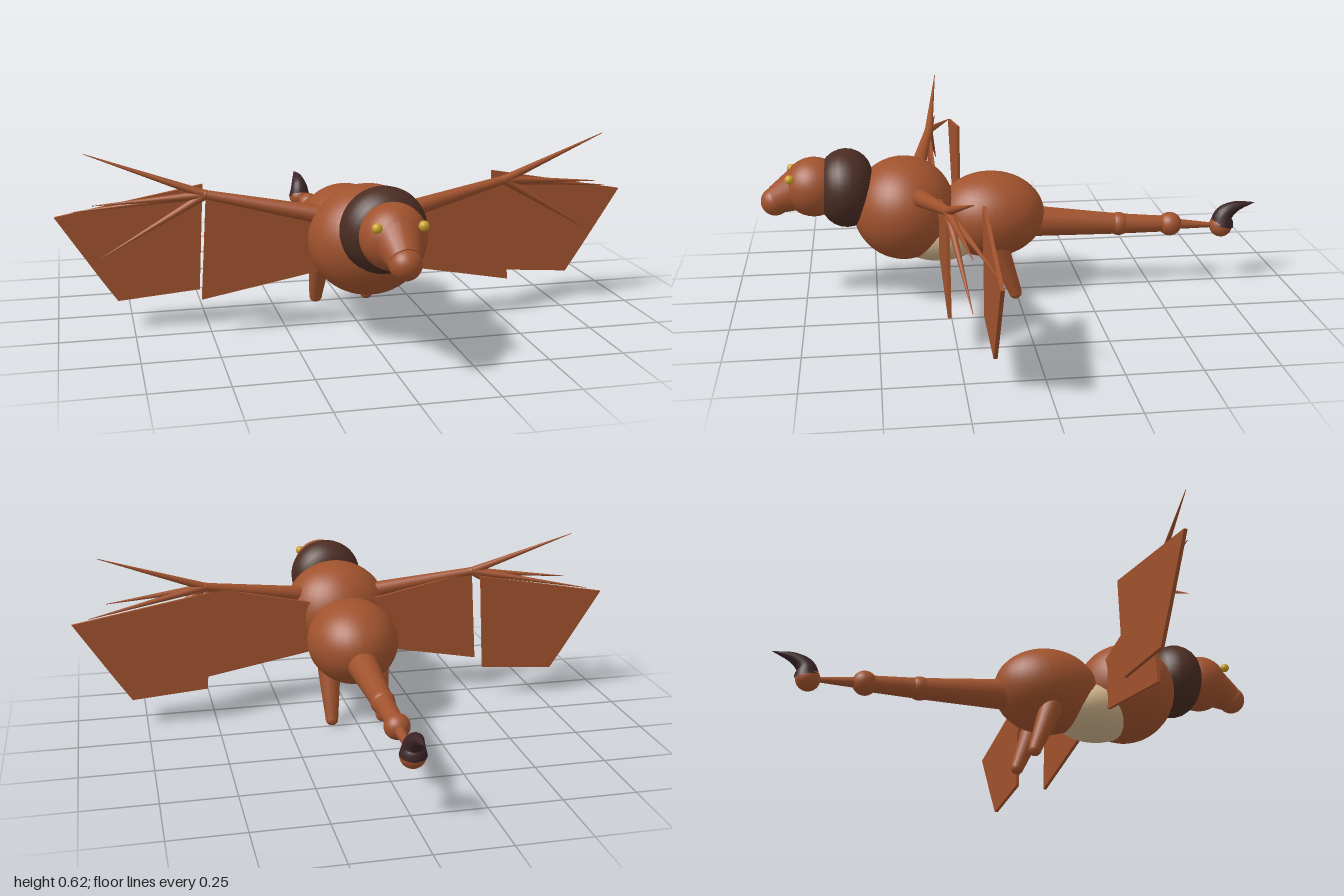
import * as THREE from 'three';

export function createModel() {
  const model = new THREE.Group();
  const mat = (name, color) => {
    const m = new THREE.MeshStandardMaterial({ color });
    m.name = name;
    return m;
  };
  const hide = mat('russet hide', 0xa0522d);
  const fur = mat('dark fur', 0x4a2c22);
  const horn = mat('dark horn', 0x3a2326);
  const cream = mat('cream belly', 0xd2b48c);
  const gold = mat('gold eye', 0xc9a227);
  const V = (x, y, z) => new THREE.Vector3(x, y, z);

  const add = (name, geometry, material) => {
    const mesh = new THREE.Mesh(geometry, material);
    mesh.name = name;
    model.add(mesh);
    return mesh;
  };
  const ball = (name, center, radii, material = hide) => {
    const mesh = add(name, new THREE.SphereGeometry(1, 32, 24), material);
    mesh.position.copy(center);
    mesh.scale.set(...radii);
    return mesh;
  };
  // Tapered round limb running from a to b
  const limb = (name, a, b, ra, rb, material = hide) => {
    const dir = b.clone().sub(a);
    const mesh = add(name, new THREE.CylinderGeometry(rb, ra, dir.length(), 20), material);
    mesh.position.copy(a).addScaledVector(dir, 0.5);
    mesh.quaternion.setFromUnitVectors(V(0, 1, 0), dir.normalize());
    return mesh;
  };
  // Flat panel facing the front, centred on depth z
  const panel = (name, points, side, z) => {
    const shape = new THREE.Shape(points.map(([x, y]) => new THREE.Vector2(x * side, y)));
    const geometry = new THREE.ExtrudeGeometry(shape, { depth: 0.012, bevelEnabled: false });
    geometry.translate(0, 0, z - 0.006);
    add(name, geometry, hide);
  };

  // Body
  ball('chest', V(0, 0.33, 0.395), [0.195, 0.182, 0.18]);
  ball('hindquarters', V(0, 0.293, 0.088), [0.165, 0.153, 0.193]);
  ball('belly', V(0, 0.235, 0.27), [0.135, 0.102, 0.165], cream);

  // Mane and head
  const mane = add('mane', new THREE.TorusGeometry(0.047, 0.091, 24, 40), fur);
  mane.position.set(0, 0.41, 0.593);
  ball('head', V(0, 0.418, 0.705), [0.104, 0.104, 0.104]);
  limb('muzzle', V(0, 0.425, 0.73), V(0, 0.375, 0.838), 0.085, 0.05);
  ball('noseTip', V(0, 0.37, 0.84), [0.05, 0.05, 0.05]);

  // Tail segments with knuckles between them
  const joints = [V(0, 0.26, -0.05), V(0, 0.235, -0.38), V(0, 0.226, -0.572), V(0, 0.212, -0.765)];
  const radii = [[0.056, 0.037], [0.037, 0.028], [0.021, 0.006]];
  radii.forEach(([ra, rb], i) => limb('tailSegment', joints[i], joints[i + 1], ra, rb));
  [0.042, 0.043, 0.042].forEach((r, i) => ball('tailKnuckle', joints[i + 1], [r, r, r]));

  // Stinger: a curved tube tapered to a point
  const curve = new THREE.CatmullRomCurve3([
    V(0, 0.215, -0.768), V(0, 0.252, -0.775), V(0, 0.281, -0.815), V(0, 0.296, -0.892)]);
  const rings = 20, sides = 20;
  const sting = new THREE.TubeGeometry(curve, rings, 0.044, sides);
  const pos = sting.attributes.position, p = new THREE.Vector3();
  for (let i = 0; i <= rings; i++) {
    const c = curve.getPointAt(i / rings);
    for (let j = 0; j <= sides; j++) {
      const k = i * (sides + 1) + j;
      p.fromBufferAttribute(pos, k).sub(c).multiplyScalar(1 - i / rings).add(c);
      pos.setXYZ(k, p.x, p.y, p.z);
    }
  }
  sting.computeVertexNormals();
  add('stinger', sting, horn);

  // Paired parts
  const fingerTips = [[0.89, 0.617, 0.225], [0.87, 0.448, 0.23], [0.935, 0.415, 0.165], [0.85, 0.272, 0.23]];
  for (const s of [1, -1]) {
    ball('eye', V(s * 0.071, 0.466, 0.783), [0.016, 0.016, 0.016], gold);

    limb('leg', V(s * 0.09, 0.2, 0.075), V(s * 0.094, 0.025, 0.01), 0.042, 0.023);
    ball('foot', V(s * 0.094, 0.024, 0.01), [0.023, 0.023, 0.023]);

    // Wing arm, wrist and fingers
    const wrist = V(s * 0.51, 0.477, 0.275);
    limb('wingArm', V(s * 0.12, 0.402, 0.35), wrist, 0.031, 0.015);
    ball('wrist', wrist, [0.016, 0.016, 0.016]);
    for (const [x, y, z] of fingerTips) limb('wingFinger', wrist, V(s * x, y, z), 0.015, 0.001);

    // Wing membranes
    panel('innerMembrane', [[0.08, 0.385], [0.51, 0.475], [0.532, 0.125], [0.08, 0.208]], s, 0.276);
    panel('outerMembrane',
      [[0.508, 0.488], [0.993, 0.4], [0.855, 0.185], [0.8, 0.103], [0.527, 0.125]], s, 0.16);
  }
  return model;
}
